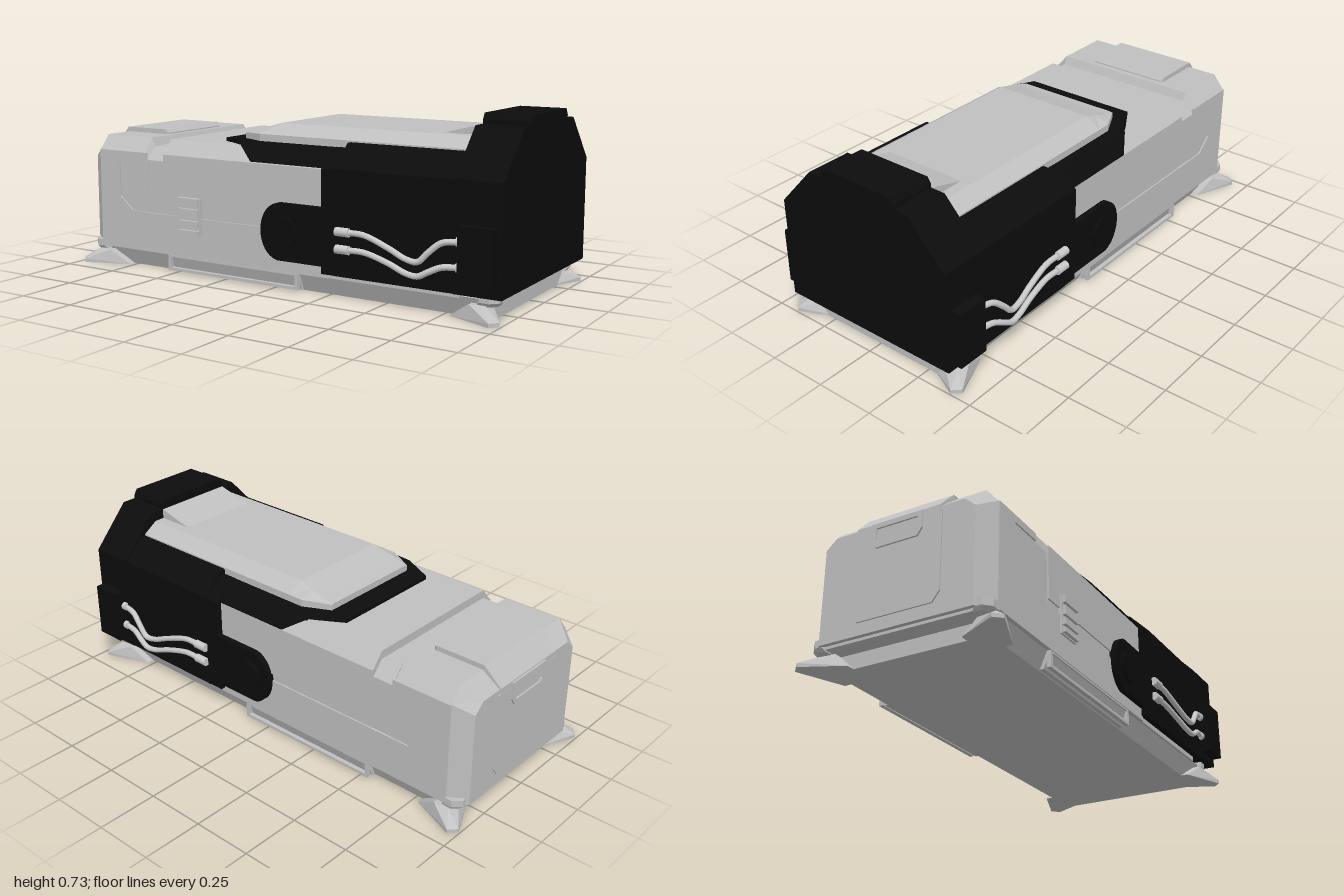
import * as THREE from 'three';
import { ConvexGeometry } from 'three/addons/geometries/ConvexGeometry.js';

const mat = (name, color, flat = true) => {
  const m = new THREE.MeshStandardMaterial({ color, flatShading: flat });
  m.name = name;
  return m;
};

// Loft along x: each section is [x, half profile of [z, y] from bottom to top], mirrored in z
function loft(sections) {
  const rings = sections.map(([x, half]) => [
    ...half.map(([z, y]) => [x, y, z]),
    ...half.slice().reverse().map(([z, y]) => [x, y, -z]),
  ]);
  const pos = [];
  const n = rings[0].length;
  const tri = (a, b, c) => pos.push(...a, ...b, ...c);
  for (let s = 0; s < rings.length - 1; s++) {
    for (let i = 0; i < n; i++) {
      const j = (i + 1) % n;
      const a = rings[s][i], b = rings[s][j], c = rings[s + 1][j], d = rings[s + 1][i];
      tri(a, d, c);
      tri(a, c, b);
    }
  }
  const first = rings[0], last = rings[rings.length - 1];
  for (let i = 1; i < n - 1; i++) {
    tri(first[0], first[i], first[i + 1]);
    tri(last[0], last[i + 1], last[i]);
  }
  const g = new THREE.BufferGeometry();
  g.setAttribute('position', new THREE.Float32BufferAttribute(pos, 3));
  g.computeVertexNormals();
  return g;
}

const toShape = (pts) => new THREE.Shape(pts.map(([x, y]) => new THREE.Vector2(x, y)));

export function createModel() {
  const model = new THREE.Group();
  model.name = 'cargoCase';
  const grey = mat('light grey', 0xc0c0c0);
  const black = mat('black', 0x0c0c0c);
  const cableGrey = mat('cable grey', 0xcacaca, false);

  const add = (name, geo, material) => {
    const m = new THREE.Mesh(geo, material);
    m.name = name;
    model.add(m);
    return m;
  };
  const box = (name, material, x0, x1, y0, y1, z0, z1) =>
    add(name, new THREE.BoxGeometry(x1 - x0, y1 - y0, z1 - z0), material)
      .position.set((x0 + x1) / 2, (y0 + y1) / 2, (z0 + z1) / 2);
  // Plate drawn in x,y, put on both long sides between depths z0 and z1
  const sidePlates = (name, material, shape, z0, z1) => {
    for (const s of [1, -1]) {
      const g = new THREE.ExtrudeGeometry(shape, { depth: z1 - z0, bevelEnabled: false, curveSegments: 16 });
      add(name, g, material).position.z = s > 0 ? z0 : -z1;
    }
  };

  // Grey hull: chamfered end, groove and middle
  const hull = [[0.374, 0.075], [0.374, 0.5], [0.325, 0.56]];
  add('hullEnd', loft([
    [-0.98, [[0.325, 0.07], [0.325, 0.46], [0.28, 0.5]]],
    [-0.91, hull],
    [-0.66, hull],
    [-0.645, [[0.374, 0.075], [0.374, 0.465], [0.325, 0.525]]],
  ]), grey);
  const groove = [[0.372, 0.075], [0.372, 0.47], [0.325, 0.525]];
  add('hullGroove', loft([[-0.65, groove], [-0.55, groove]]), grey);
  add('hullMiddle', loft([[-0.555, hull], [0.82, hull]]), grey);

  // Raised side skins that leave a shallow channel between them
  sidePlates('lowerSkin', grey, toShape([[-0.91, 0.075], [0.26, 0.075], [0.26, 0.245], [-0.73, 0.245],
    [-0.8, 0.305], [-0.8, 0.47], [-0.65, 0.47], [-0.65, 0.5], [-0.91, 0.5]]), 0.37, 0.38);
  sidePlates('upperSkin', grey, toShape([[-0.555, 0.5], [-0.555, 0.275], [0.26, 0.275], [0.26, 0.5]]), 0.37, 0.38);

  // Plate that folds over the chamfered end
  add('endTopPlate', loft([
    [-0.985, [[0.18, 0.44], [0.18, 0.505]]],
    [-0.915, [[0.19, 0.5], [0.19, 0.58]]],
    [-0.7, [[0.19, 0.5], [0.19, 0.58]]],
    [-0.688, [[0.18, 0.5], [0.18, 0.565]]],
  ]), grey);

  // End hatch and its recessed handle frame, drawn in z,y and turned to face -x
  const hatch = toShape([[-0.19, 0.16], [-0.16, 0.12], [0.16, 0.12], [0.19, 0.16], [0.19, 0.48], [-0.19, 0.48]]);
  const frame = toShape([[-0.11, 0.43], [-0.09, 0.4], [0.09, 0.4], [0.11, 0.43], [0.11, 0.5], [-0.11, 0.5]]);
  frame.holes.push(new THREE.Path([[-0.09, 0.435], [-0.08, 0.42], [0.08, 0.42], [0.09, 0.435], [0.09, 0.48], [-0.09, 0.48]]
    .map(([x, y]) => new THREE.Vector2(x, y))));
  for (const [name, shape, depth] of [['endHatch', hatch, 0.008], ['handleFrame', frame, 0.015]]) {
    const m = add(name, new THREE.ExtrudeGeometry(shape, { depth, bevelEnabled: false }), grey);
    m.rotation.y = -Math.PI / 2;
    m.position.x = -0.978;
  }

  // Base
  add('base', loft([
    [-0.88, [[0.33, 0], [0.365, 0.08]]],
    [0.94, [[0.33, 0], [0.365, 0.08]]],
  ]), grey);
  add('baseUpper', loft([
    [-0.96, [[0.32, 0.06], [0.33, 0.085]]],
    [0.97, [[0.32, 0.075], [0.33, 0.1]]],
  ]), grey);
  add('baseSidePanel', loft([
    [-0.54, [[0.35, 0.005], [0.375, 0.075]]],
    [0.12, [[0.35, 0.005], [0.375, 0.075]]],
  ]), grey);
  const rim = [[-0.54, 0.008], [0.12, 0.008], [0.12, 0.074], [-0.54, 0.074]];
  const rimShape = toShape(rim);
  rimShape.holes.push(new THREE.Path([[-0.525, 0.02], [0.105, 0.02], [0.105, 0.066], [-0.525, 0.066]]
    .map(([x, y]) => new THREE.Vector2(x, y))));
  sidePlates('basePanelRim', grey, rimShape, 0.36, 0.378);

  // Corner feet and the blocks above them
  for (const sx of [-1, 1]) {
    for (const sz of [-1, 1]) {
      const foot = [[1, 0, 0.405], [0.97, 0, 0.437], [1, 0.016, 0.405], [0.97, 0.016, 0.437],
        [0.78, 0, 0.36], [0.92, 0, 0.24], [0.78, 0, 0.24],
        [0.87, 0.06, 0.385], [0.93, 0.06, 0.38], [0.92, 0.06, 0.3], [0.86, 0.06, 0.3]];
      add('foot', new ConvexGeometry(foot.map(([x, y, z]) =>
        new THREE.Vector3(sx * (x - 0.005), y, sz * z))), grey);
      const block = [[0.9, 0.38], [0.94, 0.38], [0.97, 0.35], [0.97, 0.32], [0.9, 0.32]];
      add('cornerBlock', new ConvexGeometry(block.flatMap(([x, z]) => [
        new THREE.Vector3(sx * (x - 0.01), 0.055, sz * (z - 0.01)),
        new THREE.Vector3(sx * x, 0.07, sz * z),
        new THREE.Vector3(sx * x, 0.1, sz * z),
      ])), grey);
    }
  }

  // Black shell, lid surround and end cap
  const collar = [[0.4, 0.095], [0.4, 0.505], [0.32, 0.578]];
  const shell = [[0.402, 0.095], [0.402, 0.51], [0.315, 0.6]];
  add('shellCollar', loft([[0.245, collar], [0.32, collar]]), black);
  add('shell', loft([[0.31, shell], [0.83, shell]]), black);
  add('lidSurround', loft([
    [-0.32, [[0.25, 0.55], [0.25, 0.575]]],
    [-0.18, [[0.333, 0.555], [0.318, 0.577]]],
    [-0.1, [[0.385, 0.505], [0.325, 0.577]]],
    [0.26, [[0.385, 0.505], [0.325, 0.577]]],
  ]), black);
  const cap = [[0.406, 0.095], [0.406, 0.515], [0.243, 0.69]];
  add('endCap', loft([[0.81, cap], [1, cap]]), black);
  add('capRidge', loft([
    [0.81, [[0.18, 0.68], [0.18, 0.705], [0.165, 0.73]]],
    [1, [[0.18, 0.68], [0.18, 0.705], [0.165, 0.73]]],
  ]), black);
  for (const s of [1, -1]) box('capSideBlock', black, 0.845, 0.98, 0.125, 0.355, s * 0.425 - 0.025, s * 0.425 + 0.025);

  // Round-ended side tabs with a hub
  const tab = new THREE.Shape();
  tab.moveTo(0.26, 0.125);
  tab.lineTo(0.26, 0.355);
  tab.lineTo(0.04, 0.355);
  tab.bezierCurveTo(-0.065, 0.33, -0.065, 0.15, 0.04, 0.125);
  sidePlates('sideTab', black, tab, 0.37, 0.405);
  sidePlates('tabHub', black, new THREE.Shape().absarc(0.07, 0.24, 0.067, 0, Math.PI * 2), 0.4, 0.42);

  // Grey lid with chamfered edges
  const lidEdge = [[0.29, 0.57], [0.29, 0.606], [0.225, 0.648]];
  add('lid', loft([
    [-0.23, [[0.235, 0.57], [0.235, 0.6], [0.22, 0.603]]],
    [-0.19, [[0.255, 0.57], [0.255, 0.603], [0.235, 0.61]]],
    [-0.12, [[0.29, 0.57], [0.29, 0.606], [0.23, 0.63]]],
    [-0.06, lidEdge],
    [0.815, lidEdge],
  ]), grey);
  add('lidRamp', loft([
    [0.65, [[0.18, 0.64], [0.18, 0.647]]],
    [0.815, [[0.18, 0.64], [0.18, 0.69]]],
  ]), grey);

  // Latch on the front side only
  box('latchPlate', grey, -0.47, -0.355, 0.17, 0.33, 0.37, 0.388);
  for (const [y0, y1] of [[0.175, 0.195], [0.207, 0.235], [0.247, 0.285], [0.298, 0.33]]) {
    box('latchRib', grey, -0.465, -0.36, y0, y1, 0.38, 0.402);
  }

  // Paired cables with plugs at both ends
  const upper = [[0.36, 0.272], [0.44, 0.27], [0.55, 0.235], [0.63, 0.205], [0.68, 0.202], [0.72, 0.24], [0.77, 0.28], [0.84, 0.289]];
  const lower = [[0.36, 0.204], [0.44, 0.204], [0.55, 0.178], [0.63, 0.152], [0.68, 0.148], [0.72, 0.168], [0.77, 0.19], [0.84, 0.195]];
  const depth = [0.41, 0.41, 0.418, 0.428, 0.432, 0.43, 0.42, 0.41];
  for (const s of [1, -1]) {
    for (const path of [upper, lower]) {
      const curve = new THREE.CatmullRomCurve3(path.map(([x, y], i) => new THREE.Vector3(x, y, s * depth[i])));
      add('cable', new THREE.TubeGeometry(curve, 40, 0.012, 8), cableGrey);
      for (const [x, y, len, r] of [[0.347, path[0][1], 0.058, 0.018], [0.835, path[7][1], 0.02, 0.018]]) {
        const plug = add('cablePlug', new THREE.CylinderGeometry(r, r, len, 12), cableGrey);
        plug.rotation.z = Math.PI / 2;
        plug.position.set(x, y, s * 0.41);
      }
    }
  }
  return model;
}
